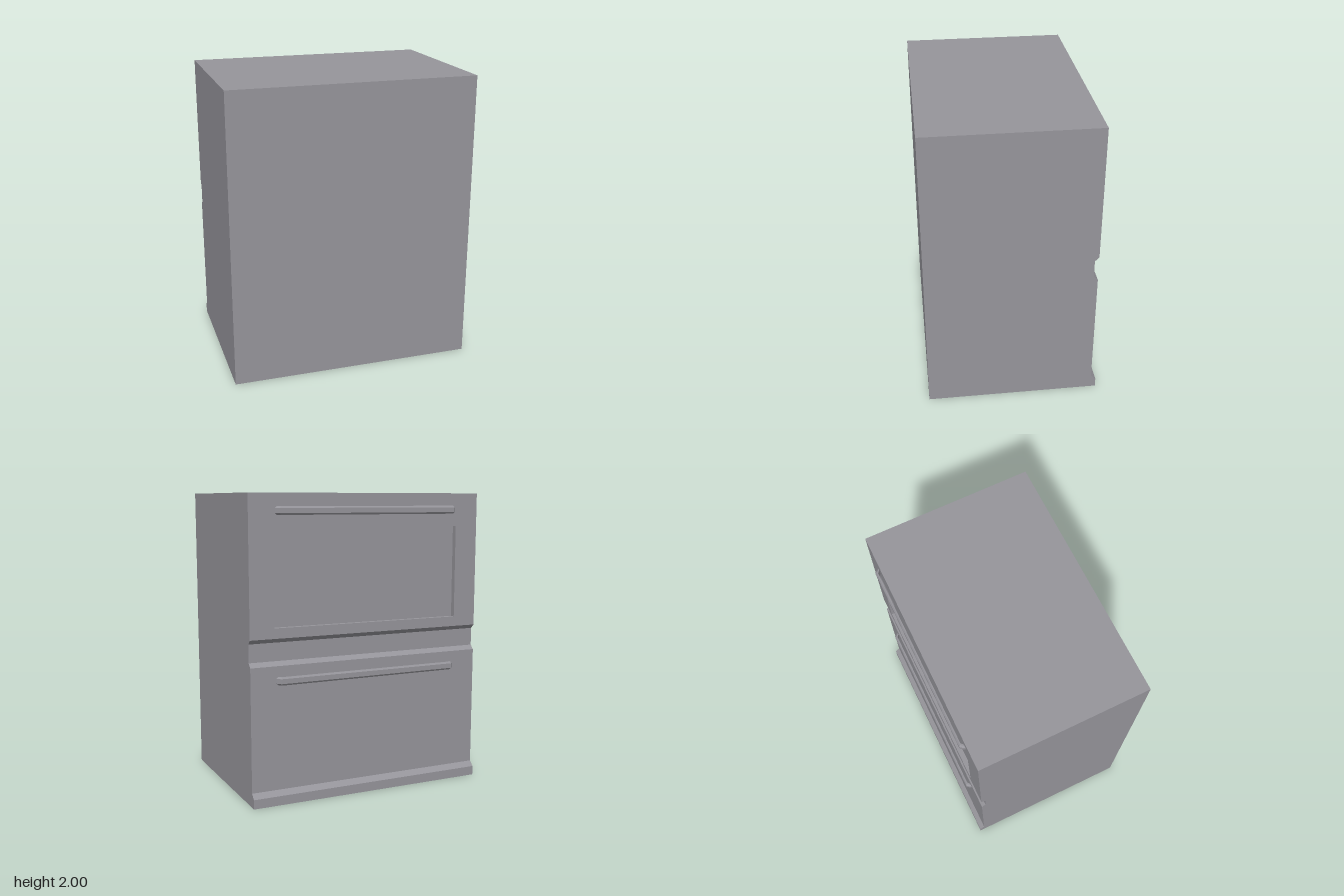
import * as THREE from 'three';

const WIDTH = 1.667, HALF = WIDTH / 2;
const FRONT = 0.583, DOOR = -0.55, CORE = -0.515;

export function createModel() {
  const group = new THREE.Group();
  const grey = new THREE.MeshStandardMaterial({ color: 0x96959b, flatShading: true });
  grey.name = 'cabinet grey';

  const add = (name, geometry, x = 0, y = 0, z = 0) => {
    const mesh = new THREE.Mesh(geometry, grey);
    mesh.name = name;
    mesh.position.set(x, y, z);
    group.add(mesh);
  };

  // Main cabinet box, up to the floor of the recessed panel
  const depth = FRONT - CORE;
  add('carcass', new THREE.BoxGeometry(WIDTH, 2, depth), 0, 1, (FRONT + CORE) / 2);

  // Lower drawer face: kick plate, flat drawer and bevelled groove in one [z, y] profile
  const profile = [
    [CORE, 0], [-0.583, 0], [-0.583, 0.062], [DOOR, 0.095], [DOOR, 0.912],
    [-0.522, 0.94], [-0.522, 1.06], [DOOR, 1.088], [CORE, 1.088],
  ];
  const lower = new THREE.ExtrudeGeometry(
    new THREE.Shape(profile.map(([z, y]) => new THREE.Vector2(z, y))),
    { depth: WIDTH, bevelEnabled: false });
  lower.rotateY(-Math.PI / 2).translate(HALF, 0, 0);
  add('lowerDrawerFace', lower);

  // Upper door frame with a rectangular opening
  const rect = (Type, hw, y0, y1) => new Type([
    new THREE.Vector2(-hw, y0), new THREE.Vector2(hw, y0),
    new THREE.Vector2(hw, y1), new THREE.Vector2(-hw, y1),
  ]);
  const frame = rect(THREE.Shape, HALF, 1.088, 2);
  frame.holes.push(rect(THREE.Path, 0.667, 1.155, 1.78));
  add('upperDoorFrame', new THREE.ExtrudeGeometry(frame, { depth: CORE - DOOR, bevelEnabled: false }), 0, 0, DOOR);

  // Slim bar pulls with slanted ends
  add('upperHandle', handleGeometry(), 0, 1.89, DOOR);
  add('lowerHandle', handleGeometry(), 0, 0.815, DOOR);
  return group;
}

// Chamfered section swept from one foot, along the bar, to the other foot
function handleGeometry() {
  const section = [[0, 0.016], [0.5, 0.027], [1, 0.027], [1, -0.027], [0.5, -0.027], [0, -0.016]];
  // Each station: outer x, outer z, inner x, inner z
  const stations = [
    [0.657, 0, 0.635, 0], [0.635, -0.03, 0.618, -0.015],
    [-0.635, -0.03, -0.618, -0.015], [-0.657, 0, -0.635, 0],
  ];
  const positions = [], index = [], n = section.length;
  stations.forEach(([ox, oz, ix, iz], i) => section.forEach(([t, y], j) => {
    positions.push(ox + (ix - ox) * t, y, oz + (iz - oz) * t);
    if (i === stations.length - 1) return;
    const a = i * n + j, b = i * n + (j + 1) % n;
    index.push(a, b + n, b, a, a + n, b + n);
  }));
  const geometry = new THREE.BufferGeometry();
  geometry.setAttribute('position', new THREE.Float32BufferAttribute(positions, 3));
  geometry.setIndex(index);
  const flat = geometry.toNonIndexed();
  flat.computeVertexNormals();
  return flat;
}
